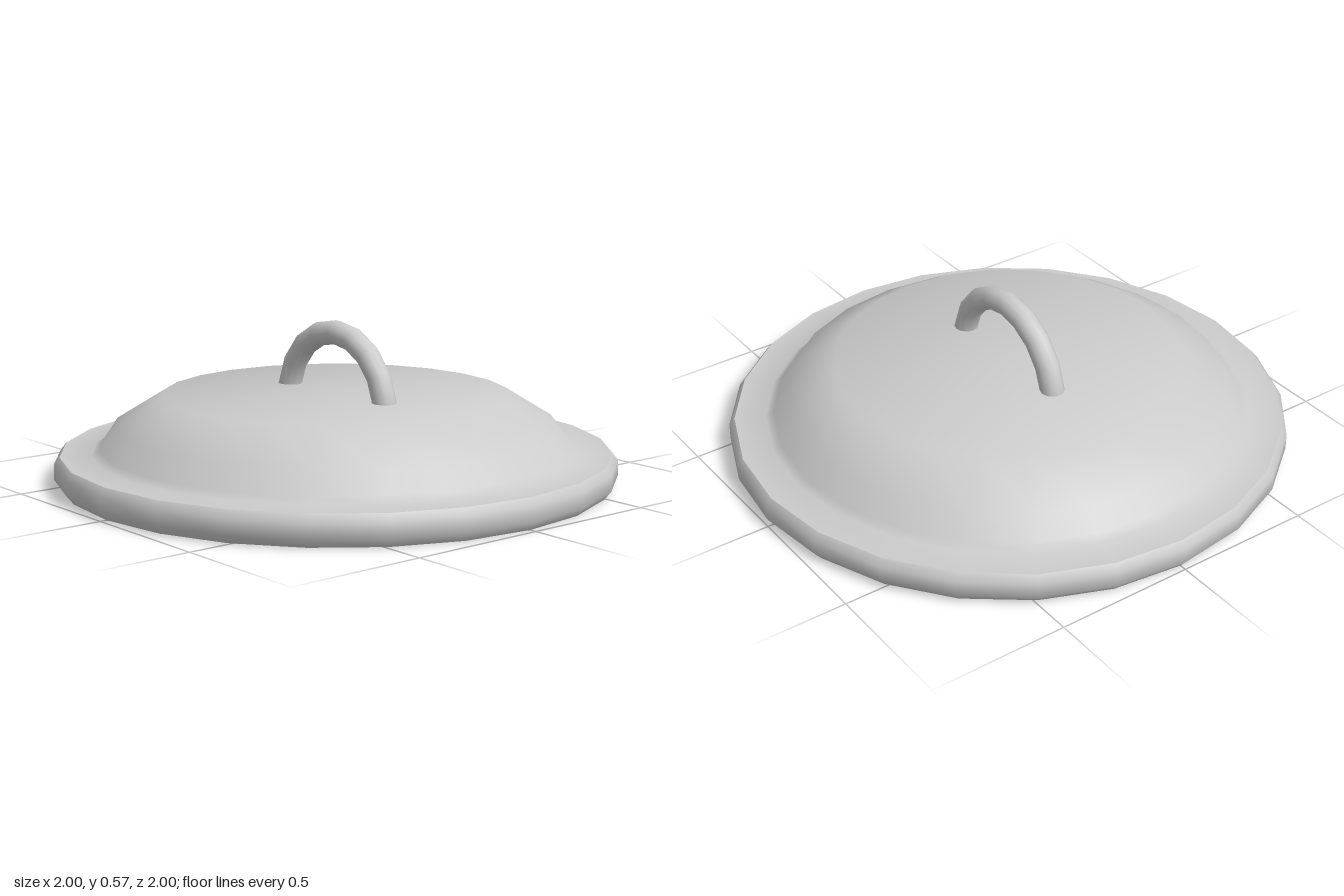
import * as THREE from 'three';
import { toCreasedNormals } from 'three/addons/utils/BufferGeometryUtils.js';

export function createModel() {
  const group = new THREE.Group();
  const material = new THREE.MeshStandardMaterial({ color: 0xcccccc });

  // Lid: flat underside, chamfered rim and flat-topped dome, 24 sides
  const profile = [
    [0, 0], [0.975, 0], [1, 0.03], [1, 0.085], [0.98, 0.11],
    [0.87, 0.11], [0.84, 0.13], [0.79, 0.205], [0.62, 0.31], [0, 0.31],
  ].map(([r, y]) => new THREE.Vector2(r, y));
  const lid = new THREE.Mesh(
    toCreasedNormals(new THREE.LatheGeometry(profile, 24), 0.85), material);
  lid.name = 'lid';
  group.add(lid);

  // Handle: arched ring running front to back, its ends sunk into the lid
  const arc = THREE.MathUtils.degToRad(200);
  const arch = new THREE.TorusGeometry(0.267, 0.043, 12, 10, arc);
  arch.rotateZ((Math.PI - arc) / 2).rotateY(Math.PI / 2);
  const handle = new THREE.Mesh(arch, material);
  handle.position.y = 0.26;
  handle.name = 'handle';
  group.add(handle);

  return group;
}
